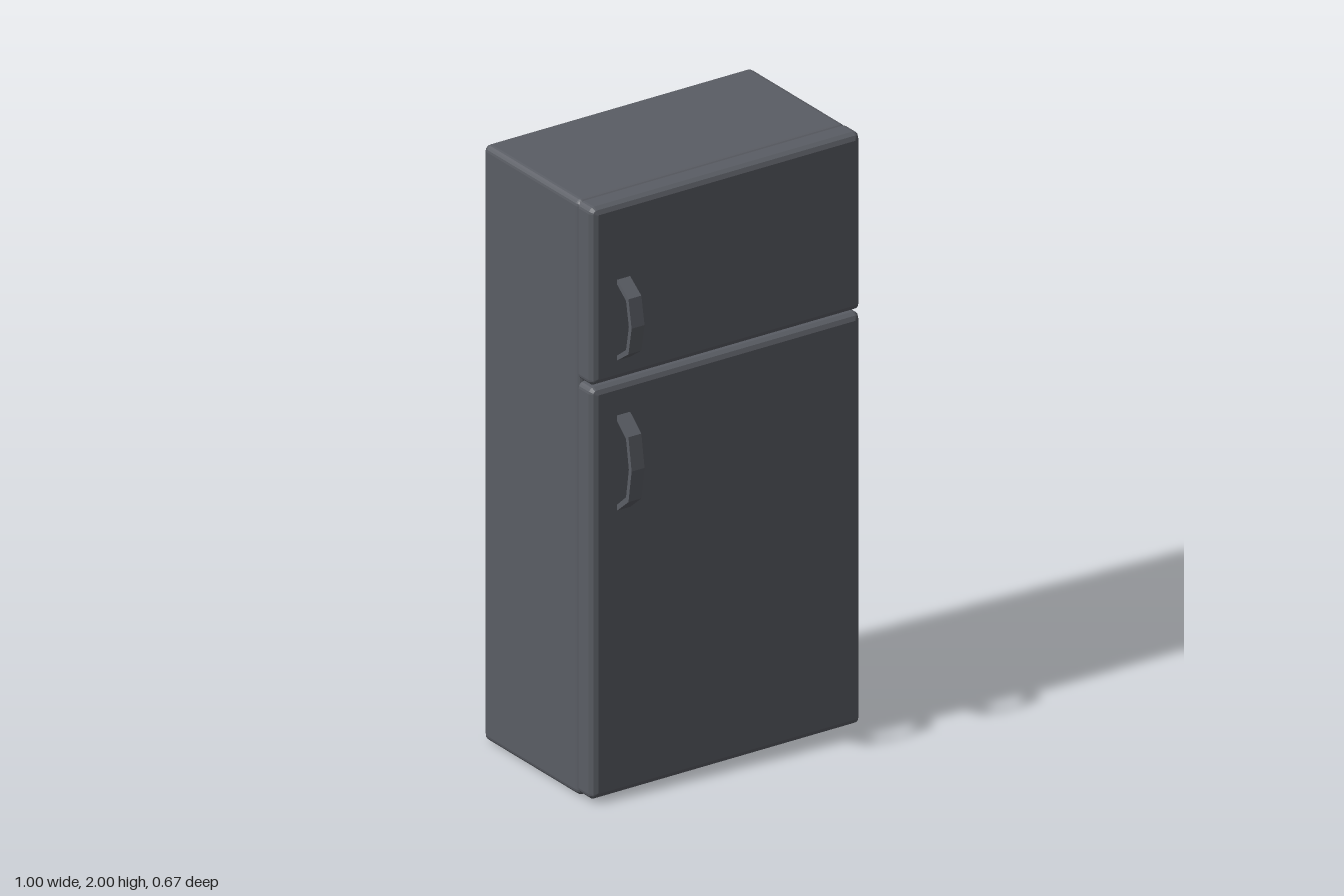
import * as THREE from 'three';

const SEG = 4; // steps per rounded corner

// Closed solid lofted along y from rounded rectangles; each ring is [y, inset].
function loft(width, depth, radius, rings) {
  const pos = [], idx = [], n = 4 * (SEG + 1);
  for (const [y, inset] of rings) {
    const r = Math.max(radius - inset, 0.003);
    const hx = width / 2 - inset - r, hz = depth / 2 - inset - r;
    for (let c = 0; c < 4; c++) {
      const sx = c === 0 || c === 3 ? 1 : -1, sz = c < 2 ? 1 : -1;
      for (let k = 0; k <= SEG; k++) {
        const a = (c + k / SEG) * Math.PI / 2;
        pos.push(sx * hx + r * Math.cos(a), y, sz * hz + r * Math.sin(a));
      }
    }
  }
  const last = (rings.length - 1) * n, c0 = rings.length * n, c1 = c0 + 1;
  pos.push(0, rings[0][0], 0, 0, rings[rings.length - 1][0], 0);
  for (let i = 0; i < n; i++) {
    const k = (i + 1) % n;
    for (let j = 0; j < last; j += n) {
      idx.push(j + i, j + n + i, j + k, j + k, j + n + i, j + n + k);
    }
    idx.push(c0, i, k, c1, last + k, last + i);
  }
  const indexed = new THREE.BufferGeometry();
  indexed.setAttribute('position', new THREE.Float32BufferAttribute(pos, 3));
  indexed.setIndex(idx);
  const geo = indexed.toNonIndexed(); // flat panels with finely stepped edges
  geo.computeVertexNormals();
  return geo;
}

// Quarter-round edge as rings, from the bottom outward or from the side to the top.
function edge(y, r, atTop) {
  const out = [];
  for (let k = 0; k <= SEG; k++) {
    const a = (k / SEG) * Math.PI / 2;
    out.push(atTop
      ? [y - r + r * Math.sin(a), r - r * Math.cos(a)]
      : [y + r - r * Math.cos(a), r - r * Math.sin(a)]);
  }
  return out;
}

export function createModel() {
  const group = new THREE.Group();
  group.name = 'refrigerator';
  const grey = new THREE.MeshStandardMaterial({ color: 0x5a5d64 });
  grey.name = 'dark grey';

  const add = (name, geo) => {
    const mesh = new THREE.Mesh(geo, grey);
    mesh.name = name;
    group.add(mesh);
  };

  // Cabinet with a recessed underside
  const R = 0.02;
  const cabinet = loft(0.995, 0.515, R, [
    [0.1, 0.022], [0, 0.022], ...edge(0, R, false), ...edge(2, R, true),
  ]);
  cabinet.translate(0, 0, -0.0755);
  add('cabinet', cabinet);

  // Doors: square at the back, bevelled around the front
  const door = (name, y0, y1) => {
    const geo = loft(1, y1 - y0, 0.02, [
      [0.182, 0], [0.235, 0], [0.249, 0.008], [0.256, 0.022],
    ]);
    geo.rotateX(Math.PI / 2);
    geo.translate(0, (y0 + y1) / 2, 0);
    add(name, geo);
  };
  door('fridgeDoor', 0.012, 1.395);
  door('freezerDoor', 1.403, 2);

  // Bowed strap handles, drawn in profile and extruded sideways
  const handle = (name, y, half) => {
    const outer = [[0.25, 1.0], [0.316, 0.66], [0.333, 0], [0.316, -0.66], [0.25, -1.0]];
    const inner = [[0.25, -0.88], [0.303, -0.59], [0.318, 0], [0.303, 0.59], [0.25, 0.88]];
    const shape = new THREE.Shape(
      [...outer, ...inner].map(([z, t]) => new THREE.Vector2(z, y + t * half)));
    const geo = new THREE.ExtrudeGeometry(shape, { depth: 0.048, bevelEnabled: false });
    geo.rotateY(-Math.PI / 2);
    geo.translate(-0.36, 0, 0);
    add(name, geo);
  };
  handle('freezerHandle', 1.608, 0.14);
  handle('fridgeHandle', 1.128, 0.165);

  return group;
}
